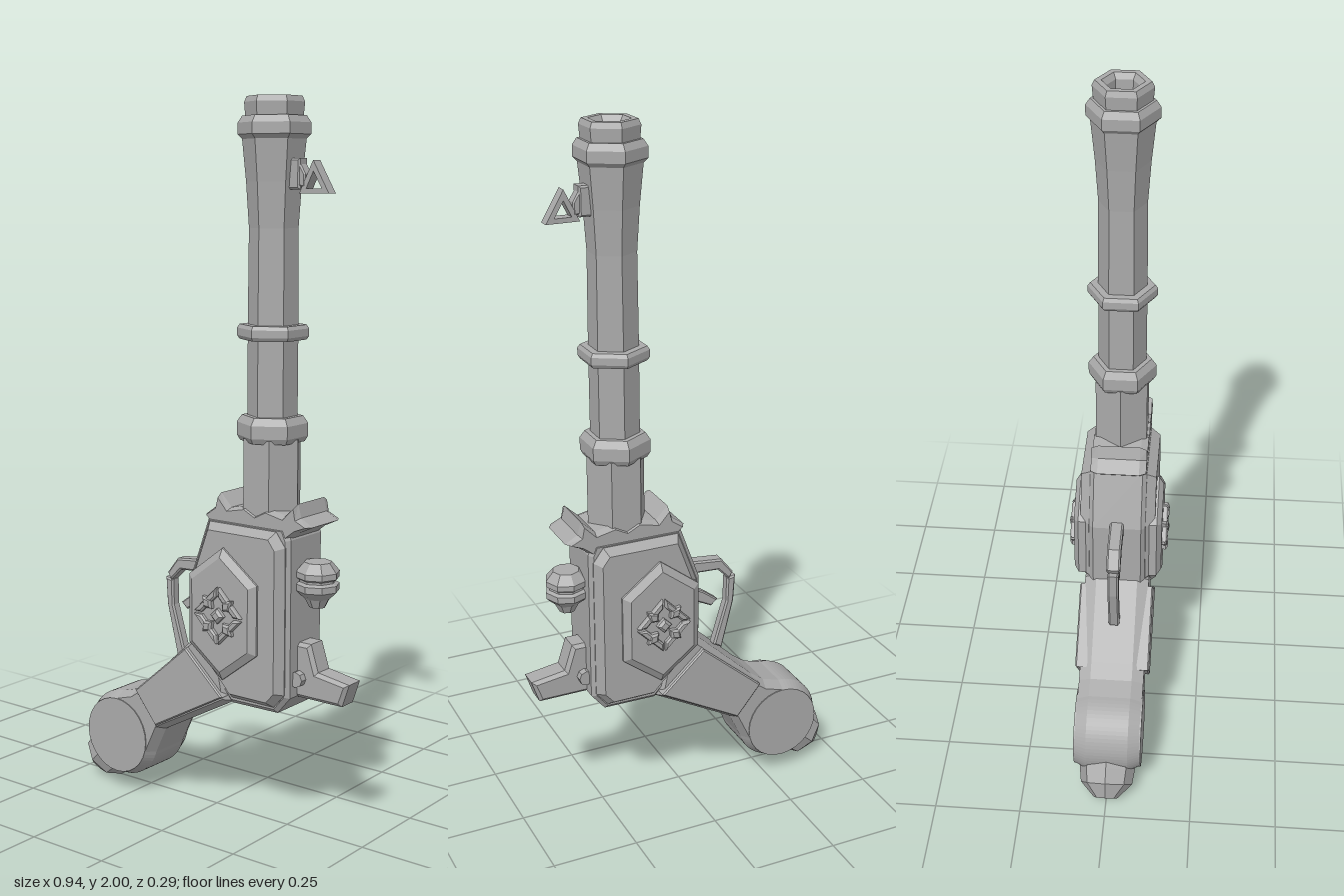
import * as THREE from 'three';

export function createModel() {
  const model = new THREE.Group();
  model.name = 'ornatePistol';
  const grey = new THREE.MeshStandardMaterial({ color: 0xaaaaaa, flatShading: true });
  grey.name = 'plain grey';

  function add(name, geometry, x = 0, y = 0, z = 0) {
    const mesh = new THREE.Mesh(geometry, grey);
    mesh.name = name;
    mesh.position.set(x, y, z);
    model.add(mesh);
    return mesh;
  }
  const toShape = (pts) => new THREE.Shape(pts.map((p) => new THREE.Vector2(p[0], p[1])));

  // Slab centred on z = 0, reaching +-half, with edges chamfered inwards
  function slab(name, outline, half, inset = 0, chamfer = inset) {
    const shape = outline instanceof THREE.Shape ? outline : toShape(outline);
    const geometry = new THREE.ExtrudeGeometry(shape, {
      depth: 2 * (half - chamfer), bevelEnabled: inset > 0, bevelSegments: 1,
      bevelSize: inset, bevelOffset: -inset, bevelThickness: chamfer, curveSegments: 24,
    });
    geometry.translate(0, 0, chamfer - half);
    return add(name, geometry);
  }
  // Turned part with few sides; the profile is [radius, height], bottom to top
  function turned(name, profile, sides, x = 0, y = 0, start = 0) {
    const pts = profile.map((p) => new THREE.Vector2(p[0], p[1]));
    return add(name, new THREE.LatheGeometry(pts, sides, start), x, y);
  }

  // Barrel: breech, collars, flared tube and hollow muzzle
  const barrelX = 0.19;
  turned('breech', [[0, 0.82], [0.085, 0.82], [0.085, 1.1], [0, 1.1]], 6, barrelX, 0, Math.PI / 6);
  turned('barrel', [
    [0, 1.09], [0.088, 1.09], [0.097, 1.105], [0.097, 1.14], [0.083, 1.16], [0.068, 1.16],
    [0.068, 1.365], [0.09, 1.365], [0.097, 1.375], [0.097, 1.395], [0.09, 1.405], [0.068, 1.405],
    [0.066, 1.66], [0.074, 1.78], [0.085, 1.89], [0.097, 1.902], [0.097, 1.932], [0.085, 1.95],
    [0.077, 1.95], [0.08, 1.985], [0.073, 2], [0.056, 2], [0.045, 1.985], [0.043, 1.87], [0, 1.87],
  ], 6, barrelX);

  // Front sight: mount and open triangle
  slab('sightMount', [[0.24, 1.76], [0.285, 1.76], [0.285, 1.84], [0.24, 1.84]], 0.02, 0.005);
  slab('sightArm', [[0.24, 1.775], [0.3, 1.765], [0.3, 1.8], [0.285, 1.825], [0.24, 1.825]], 0.017, 0.004);
  const sight = toShape([[0.282, 1.75], [0.375, 1.75], [0.325, 1.835]]);
  sight.holes.push(toShape([[0.304, 1.763], [0.326, 1.807], [0.352, 1.763]]));
  slab('sightTriangle', sight, 0.016);

  // Scalloped crown between body and barrel
  slab('crown', [
    [0.013, 0.876], [0.05, 0.903], [0.062, 0.94], [0.098, 0.903], [0.155, 0.915], [0.19, 0.897],
    [0.225, 0.915], [0.28, 0.903], [0.32, 0.94], [0.33, 0.903], [0.367, 0.882], [0.325, 0.862],
    [0.29, 0.835], [0.06, 0.835],
  ], 0.08, 0.008, 0.02);

  // Body: core, side cover and medallion
  slab('bodyCore', [
    [0.03, 0.875], [0.29, 0.875], [0.305, 0.84], [0.305, 0.4], [0.265, 0.352], [0.11, 0.35],
    [-0.03, 0.5], [-0.03, 0.71],
  ], 0.082, 0.012);
  slab('bodyCover', [
    [0.04, 0.86], [0.265, 0.86], [0.295, 0.82], [0.295, 0.41], [0.26, 0.37], [0.12, 0.37],
    [-0.015, 0.51], [-0.015, 0.71],
  ], 0.109, 0.018, 0.026);

  const cx = 0.108, cy = 0.613;
  const hexagon = (w, h, tip) => [
    [cx, cy + tip], [cx - w, cy + h], [cx - w, cy - h], [cx, cy - tip], [cx + w, cy - h], [cx + w, cy + h],
  ];
  slab('medallion', hexagon(0.116, 0.098, 0.187), 0.129, 0.02, 0.014);

  // Rosette: split diamond frame, four petals and a centre stud
  for (let i = 0; i < 4; i++) {
    const c = Math.cos(i * Math.PI / 2), s = Math.sin(i * Math.PI / 2);
    const turn = (pts) => pts.map(([x, y]) => [cx + x * c - y * s, cy + x * s + y * c]);
    slab('rosetteFrame', turn([[0.08, 0.004], [0.004, 0.08], [0.004, 0.054], [0.054, 0.004]]), 0.143, 0.005);
    slab('rosettePetal', turn([[0.018, 0.018], [0.045, 0.02], [0.05, 0.05], [0.02, 0.045]]), 0.146, 0.006);
  }
  slab('rosetteStud', [[cx + 0.022, cy], [cx, cy + 0.022], [cx - 0.022, cy], [cx, cy - 0.022]], 0.146, 0.007);

  // Grip with round butt, side plates and discs
  const gx = -0.3, gy = 0.17;
  const grip = new THREE.Shape();
  grip.moveTo(0.08, 0.5);
  grip.lineTo(-0.02, 0.52);
  grip.lineTo(-0.21, 0.342);
  grip.lineTo(-0.25, 0.313);
  grip.absarc(gx, gy, 0.127, 1.6, 6.0, false);
  grip.lineTo(-0.14, 0.215);
  grip.lineTo(0.11, 0.352);
  slab('grip', grip, 0.095, 0.016, 0.034);
  slab('gripPlate', [[-0.218, 0.328], [-0.03, 0.49], [0.1, 0.37], [-0.143, 0.235]], 0.109, 0.004);
  const disc = new THREE.CylinderGeometry(0.112, 0.112, 0.196, 28);
  disc.rotateX(Math.PI / 2);
  add('buttDisc', disc, gx, gy);

  // Faceted cap at the end of the butt
  const cap = turned('buttCap', [
    [0, 0.06], [0.07, 0.09], [0.082, 0.12], [0.076, 0.165], [0.035, 0.208], [0, 0.208],
  ], 8, gx, gy);
  cap.rotation.z = Math.PI - Math.atan2(0.73, 0.69);

  // Trigger and its guard
  slab('guardTop', [
    [-0.02, 0.728], [-0.13, 0.717], [-0.167, 0.67], [-0.155, 0.648], [-0.118, 0.685], [-0.02, 0.69],
  ], 0.02, 0.005);
  slab('guardFront', [
    [-0.177, 0.655], [-0.15, 0.65], [-0.148, 0.575], [-0.108, 0.44], [-0.135, 0.425], [-0.172, 0.575],
  ], 0.016, 0.005);
  slab('trigger', [[-0.02, 0.65], [-0.075, 0.622], [-0.12, 0.588], [-0.1, 0.57], [-0.02, 0.61]], 0.014, 0.004);

  // Hammer and its pivot pin
  slab('hammer', [
    [0.29, 0.55], [0.343, 0.55], [0.367, 0.475], [0.467, 0.46], [0.445, 0.395], [0.29, 0.395],
  ], 0.036, 0.01);
  const pin = new THREE.CylinderGeometry(0.022, 0.022, 0.114, 8);
  pin.rotateX(Math.PI / 2);
  add('hammerPin', pin, 0.312, 0.452);

  // Banded knob on a short stem
  turned('knob', [
    [0, 0.65], [0.022, 0.65], [0.035, 0.675], [0.05, 0.688], [0.06, 0.698], [0.06, 0.716],
    [0.05, 0.722], [0.05, 0.728], [0.06, 0.734], [0.06, 0.75], [0.038, 0.776], [0, 0.776],
  ], 8, 0.344);
  add('knobStem', new THREE.BoxGeometry(0.06, 0.05, 0.06), 0.315, 0.715);

  return model;
}
